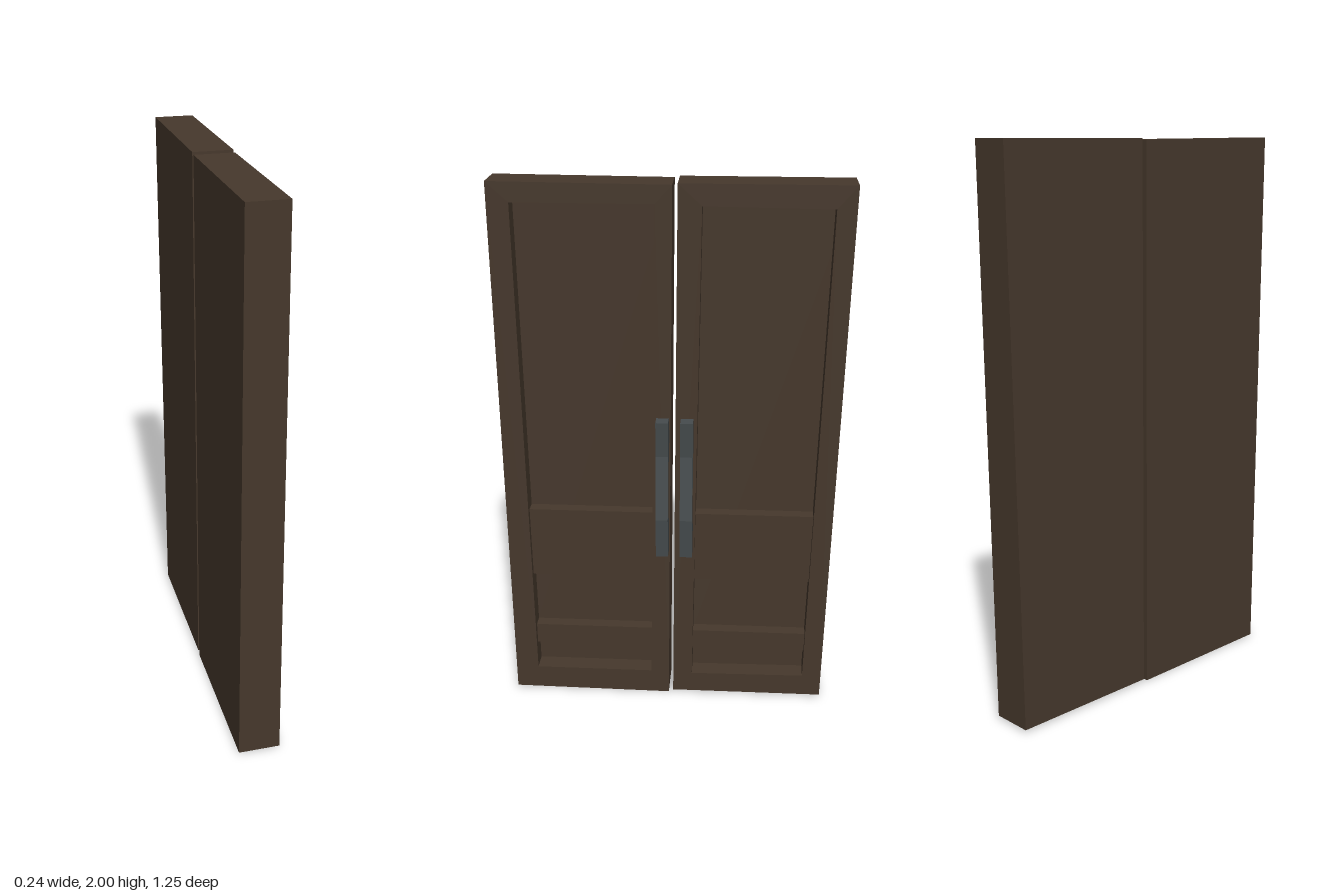
import * as THREE from 'three';

const wood = new THREE.MeshStandardMaterial({ color: 0x46382c, flatShading: true });
const iron = new THREE.MeshStandardMaterial({ color: 0x464c4e, flatShading: true });

const BACK = -0.117, PANEL = -0.043, BOARD = 0.003, FACE = 0.027;

// Corner lists are [z, y]; the outline is extruded along x.
const toPoints = (corners) => corners.map(([z, y]) => new THREE.Vector2(-z, y));

function slab(name, corners, x0, x1, hole) {
  const shape = new THREE.Shape(toPoints(corners));
  if (hole) shape.holes.push(new THREE.Path(toPoints(hole)));
  const geo = new THREE.ExtrudeGeometry(shape, { depth: x1 - x0, bevelEnabled: false });
  geo.rotateY(Math.PI / 2).translate(x0, 0, 0);
  // Doors are a touch thicker toward the floor
  const p = geo.attributes.position;
  for (let i = 0; i < p.count; i++) {
    const x = p.getX(i);
    p.setX(i, -0.045 + (x + 0.045) * (1.04 - 0.03 * p.getY(i)));
  }
  geo.computeVertexNormals();
  const mesh = new THREE.Mesh(geo, wood);
  mesh.name = name;
  return mesh;
}

// Part of the inner opening between two heights, following its slanted sides
function band(inner, y0, y1) {
  const [bl, br, tr, tl] = inner;
  const side = (a, b, y) => [a[0] + (b[0] - a[0]) * (y - a[1]) / (b[1] - a[1]), y];
  return [side(bl, tl, y0), side(br, tr, y0), side(br, tr, y1), side(bl, tl, y1)];
}

function createDoor(name, outer, inner, boards) {
  const door = new THREE.Group();
  door.name = name;
  door.add(slab('backPanel', outer, BACK, PANEL));
  door.add(slab('frame', outer, PANEL, FACE, inner));
  boards.forEach(([y0, y1]) => door.add(slab('crossBoard', band(inner, y0, y1), PANEL, BOARD)));
  return door;
}

// Bent pull handle with a thick foot at each end
function createHandle(name, z) {
  const profile = [
    [0.055, 0.645], [0.105, 0.645], [0.118, 0.8], [0.09, 1.04], [0.103, 1.175],
    [0.055, 1.175], [0.03, 1.12], [0.025, 1.09], [0.04, 1.04], [0.056, 1.04],
    [0.082, 0.79], [0.065, 0.79], [0.04, 0.745], [0.04, 0.69],
  ].map(([x, y]) => new THREE.Vector2(x, y));
  const geo = new THREE.ExtrudeGeometry(new THREE.Shape(profile), { depth: 0.045, bevelEnabled: false });
  const mesh = new THREE.Mesh(geo, iron);
  mesh.position.z = z;
  mesh.name = name;
  return mesh;
}

export function createModel() {
  const group = new THREE.Group();
  group.name = 'doubleDoor';
  // Corners run bottom-left, bottom-right, top-right, top-left as seen from the handle side
  group.add(createDoor('nearDoor',
    [[0.61, 0.005], [0.007, 0], [-0.005, 1.995], [0.625, 2]],
    [[0.525, 0.095], [0.075, 0.095], [0.055, 1.93], [0.547, 1.93]],
    [[0.5, 0.775], [0.195, 0.275]]));
  group.add(createDoor('farDoor',
    [[-0.01, 0.01], [-0.585, 0.01], [-0.622, 2], [-0.023, 2]],
    [[-0.083, 0.09], [-0.515, 0.095], [-0.552, 1.92], [-0.105, 1.925]],
    [[0.5, 0.775], [0.195, 0.27]]));
  group.add(createHandle('nearHandle', 0.005));
  group.add(createHandle('farHandle', -0.083));
  return group;
}
